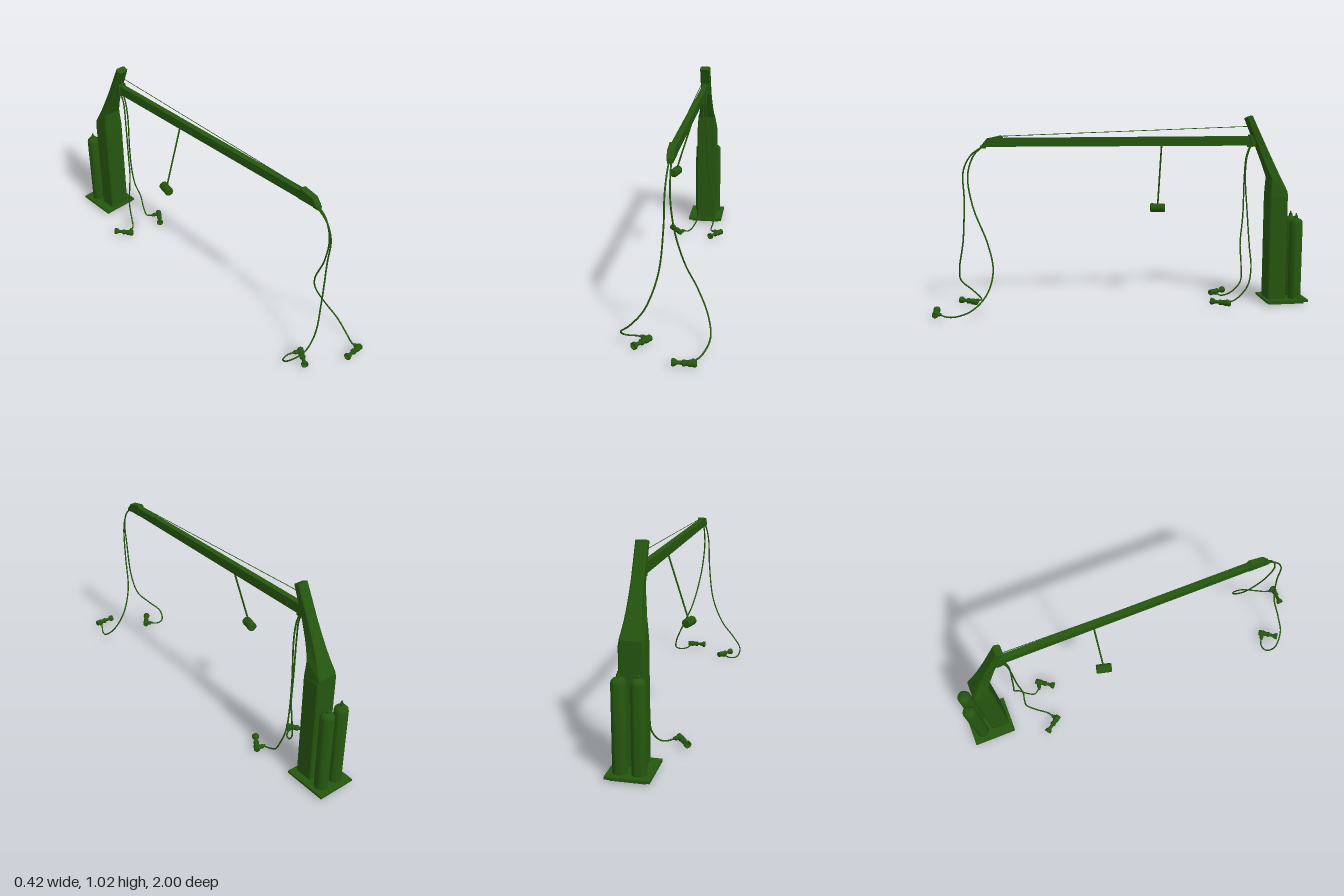
import * as THREE from 'three';
import { toCreasedNormals } from 'three/addons/utils/BufferGeometryUtils.js';

const X0 = 0.017; // centre plane of mast and boom
const material = new THREE.MeshStandardMaterial({ color: 0x25560f });
const V = (x, y, z) => new THREE.Vector3(x, y, z);

export function createModel() {
  const model = new THREE.Group();

  function add(name, geometry, x = 0, y = 0, z = 0, parent = model) {
    const mesh = new THREE.Mesh(geometry, material);
    mesh.name = name;
    mesh.position.set(x, y, z);
    parent.add(mesh);
    return mesh;
  }
  const box = (name, w, h, d, x, y, z) => add(name, new THREE.BoxGeometry(w, h, d), x, y, z);
  const lathe = (points, sides = 24) => toCreasedNormals(
    new THREE.LatheGeometry(points.map(p => new THREE.Vector2(...p)), sides), 0.6);

  // Round bar between two points
  function rod(name, a, b, radius, sides = 12) {
    const mesh = add(name, new THREE.CylinderGeometry(radius, radius, a.distanceTo(b), sides));
    mesh.position.copy(a).add(b).multiplyScalar(0.5);
    mesh.quaternion.setFromUnitVectors(V(0, 1, 0), b.clone().sub(a).normalize());
    return mesh;
  }

  // Side profile in (z, y), extruded across x
  function profile(name, points, width) {
    const shape = new THREE.Shape(points.map(p => new THREE.Vector2(...p)));
    const geometry = new THREE.ExtrudeGeometry(shape, { depth: width, bevelEnabled: false });
    geometry.rotateY(-Math.PI / 2);
    return add(name, geometry, X0 + width / 2);
  }

  // Base plate on a smaller plinth
  box('basePlinth', 0.165, 0.014, 0.195, 0.012, 0.007, -0.885);
  box('basePlate', 0.207, 0.012, 0.232, 0.011, 0.019, -0.885);

  // Mast: chamfered sections [frontZ, frontY, backZ, backY, halfWidth]
  const sections = [
    [-0.785, 0.02, -0.885, 0.02, 0.059],
    [-0.785, 0.585, -0.885, 0.585, 0.059],
  ];
  const lean = [[0, 0.053], [0.08, 0.047], [0.17, 0.041], [0.28, 0.036], [0.42, 0.032], [0.58, 0.029], [1, 0.029]];
  for (const [t, half] of lean) {
    sections.push([-0.79 + 0.135 * t, 0.685 + 0.317 * t, -0.885 + 0.195 * t, 0.612 + 0.404 * t, half]);
  }
  const rings = sections.map(([zf, yf, zb, yb, w]) => {
    const c = 0.007, s = c / Math.hypot(zf - zb, yf - yb);
    return [[c - w, 0], [w - c, 0], [w, s], [w, 1 - s], [w - c, 1], [c - w, 1], [-w, 1 - s], [-w, s]]
      .map(([x, k]) => [X0 + x, yf + (yb - yf) * k, zf + (zb - zf) * k]);
  });
  const corners = [];
  for (let i = 0; i < rings.length - 1; i++) {
    for (let j = 0; j < 8; j++) {
      const k = (j + 1) % 8, low = rings[i], high = rings[i + 1];
      corners.push(low[j], low[k], high[k], low[j], high[k], high[j]);
    }
  }
  const last = rings[rings.length - 1];
  for (let j = 1; j < 7; j++) corners.push(last[0], last[j], last[j + 1]);
  const mastGeometry = new THREE.BufferGeometry();
  mastGeometry.setAttribute('position', new THREE.Float32BufferAttribute(corners.flat(), 3));
  mastGeometry.computeVertexNormals();
  add('mast', mastGeometry);

  // Two gas cylinders behind the mast, each with a valve
  const bottle = lathe([[0, 0], [0.035, 0], [0.035, 0.415], [0.032, 0.428], [0.024, 0.437], [0.012, 0.442],
    [0.009, 0.444], [0.009, 0.456], [0.004, 0.458], [0.004, 0.468], [0, 0.47]], 28);
  for (const x of [-0.031, 0.057]) add('gasCylinder', bottle, x, 0.024, -0.94);

  // Boom, its raised tip, root bracket and side covers
  profile('boom', [[-0.715, 0.858], [0.725, 0.864], [0.715, 0.885], [0.7, 0.908], [-0.715, 0.908]], 0.03);
  profile('boomTip', [[0.62, 0.863], [0.728, 0.863], [0.728, 0.874], [0.703, 0.905], [0.63, 0.921], [0.62, 0.912]], 0.034);
  box('rootBracket', 0.046, 0.06, 0.03, X0, 0.884, -0.695);
  for (const [z, length] of [[0.23, 0.2], [-0.145, 0.09], [-0.52, 0.18]]) {
    box('boomCover', 0.033, 0.028, length, X0, 0.88, z);
  }

  // Stay wire above the boom
  rod('stayWire', V(X0, 0.917, 0.63), V(X0, 0.96, -0.69), 0.0018, 6);

  // Hanging control rod with grip
  rod('controlRod', V(X0, 0.865, -0.205), V(-0.09, 0.525, -0.205), 0.0045);
  const grip = rod('controlGrip', V(-0.102, 0.516, -0.167), V(-0.083, 0.516, -0.243), 0.024);
  grip.geometry = lathe([[0, -0.041], [0.019, -0.041], [0.024, -0.035], [0.024, 0.035], [0.019, 0.041], [0, 0.041]], 12);

  // Nozzle lying on the ground: thick body, neck and flared mouth
  const nozzleShape = lathe([[0, 0], [0.013, 0], [0.016, 0.004], [0.016, 0.034], [0.013, 0.038], [0.0125, 0.05],
    [0.015, 0.053], [0.015, 0.062], [0.009, 0.066], [0.009, 0.084], [0.018, 0.1], [0.018, 0.111],
    [0.014, 0.111], [0.009, 0.1], [0, 0.1]], 16);
  function nozzle(body, mouth, inlet) {
    const mesh = add('nozzle', nozzleShape);
    mesh.position.copy(body);
    mesh.quaternion.setFromUnitVectors(V(0, 1, 0), mouth.clone().sub(body).normalize());
    const joint = body.clone().lerp(mouth, 0.17);
    rod('nozzleInlet', joint, inlet, 0.011, 14);
    rod('hoseCollar', joint, inlet.clone().lerp(joint, -0.3), 0.007, 10);
  }

  // Four hoses, each ending at the inlet of a nozzle
  const hoses = [
    { // front right
      path: [[0.012, 0.865, 0.725], [0.01, 0.82, 0.785], [0.006, 0.74, 0.825], [0, 0.59, 0.825], [-0.025, 0.37, 0.838],
        [-0.085, 0.21, 0.865], [-0.15, 0.13, 0.862], [-0.205, 0.065, 0.81], [-0.19, 0.025, 0.765], [-0.145, 0.02, 0.757], [-0.112, 0.026, 0.775]],
      body: [-0.073, 0.026, 0.776], mouth: [-0.135, 0.026, 0.862],
    },
    { // front left
      path: [[0.022, 0.865, 0.725], [0.024, 0.82, 0.77], [0.027, 0.72, 0.802], [0.042, 0.56, 0.78], [0.08, 0.37, 0.708],
        [0.135, 0.24, 0.682], [0.185, 0.13, 0.715], [0.206, 0.055, 0.79], [0.18, 0.018, 0.88], [0.155, 0.016, 0.93], [0.147, 0.026, 0.953]],
      body: [0.165, 0.026, 0.976], mouth: [0.055, 0.026, 0.976],
    },
    { // rear right
      path: [[0.01, 0.865, -0.69], [0.01, 0.8, -0.668], [0.008, 0.7, -0.66], [0.008, 0.48, -0.656], [0.002, 0.32, -0.646],
        [-0.002, 0.21, -0.655], [-0.01, 0.11, -0.655], [-0.035, 0.045, -0.61], [-0.065, 0.02, -0.562], [-0.097, 0.026, -0.54]],
      body: [-0.108, 0.026, -0.509], mouth: [-0.172, 0.026, -0.598],
    },
    { // rear left
      path: [[0.024, 0.865, -0.69], [0.024, 0.8, -0.668], [0.026, 0.7, -0.66], [0.034, 0.48, -0.674], [0.048, 0.32, -0.684],
        [0.07, 0.2, -0.69], [0.09, 0.11, -0.668], [0.075, 0.045, -0.625], [0.068, 0.02, -0.59], [0.092, 0.026, -0.556]],
      body: [0.137, 0.026, -0.561], mouth: [0.075, 0.026, -0.475],
    },
  ];
  for (const { path, body, mouth } of hoses) {
    const curve = new THREE.CatmullRomCurve3(path.map(p => V(...p)));
    add('hose', new THREE.TubeGeometry(curve, 90, 0.004, 8));
    nozzle(V(...body), V(...mouth), curve.getPoint(1));
  }

  // Outlets where the hoses leave the boom
  box('frontHoseOutlet', 0.026, 0.014, 0.03, X0, 0.863, 0.722);
  box('rearHoseOutlet', 0.03, 0.014, 0.026, X0, 0.857, -0.685);

  return model;
}
